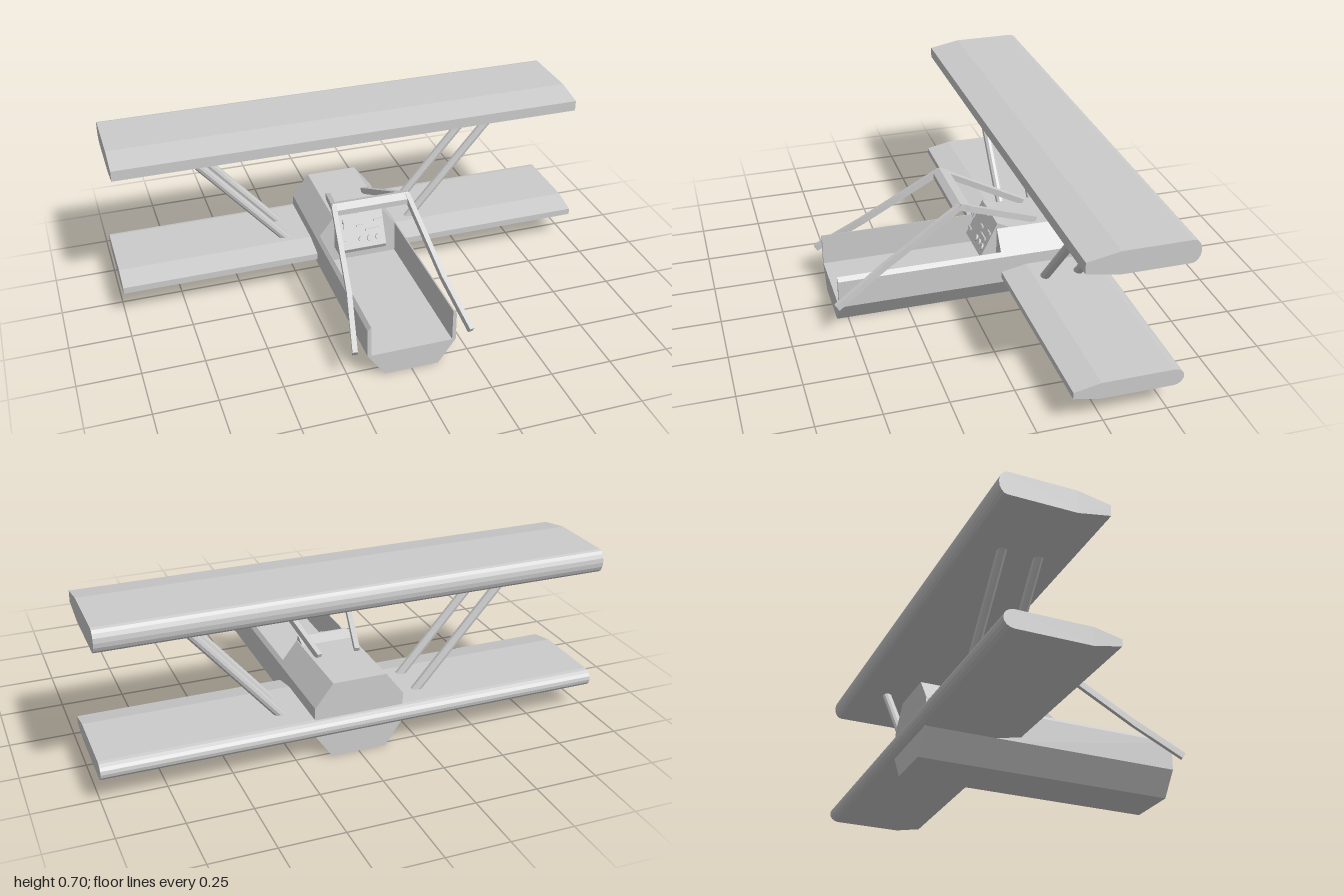
import * as THREE from 'three';

const mat = new THREE.MeshStandardMaterial({ color: 0xcccccc, flatShading: true });

function add(parent, name, geometry, x = 0, y = 0, z = 0) {
  const m = new THREE.Mesh(geometry, mat);
  m.name = name;
  m.position.set(x, y, z);
  parent.add(m);
  return m;
}

const shapeOf = pts => new THREE.Shape(pts.map(p => new THREE.Vector2(...p)));

// Extrude an (x, y) section from z0 to z1
function alongZ(pts, z0, z1) {
  return new THREE.ExtrudeGeometry(shapeOf(pts), { depth: z1 - z0, bevelEnabled: false }).translate(0, 0, z0);
}

// Extrude a (z, y) profile symmetrically across x
function acrossX(pts, halfWidth) {
  const s = shapeOf(pts.map(([z, y]) => [-z, y]));
  return new THREE.ExtrudeGeometry(s, { depth: 2 * halfWidth, bevelEnabled: false })
    .translate(0, 0, -halfWidth).rotateY(Math.PI / 2);
}

// Rectangular bar between two points
function bar(parent, name, a, b, w, h) {
  const p = new THREE.Vector3(...a), q = new THREE.Vector3(...b);
  const m = add(parent, name, new THREE.BoxGeometry(w, h, p.distanceTo(q) + 0.008));
  m.position.copy(p).lerp(q, 0.5);
  m.lookAt(q);
}

// Round strut between two points
function strut(parent, name, a, b, r) {
  const p = new THREE.Vector3(...a), q = new THREE.Vector3(...b);
  const m = add(parent, name, new THREE.CylinderGeometry(r, r, p.distanceTo(q), 10));
  m.position.copy(p).lerp(q, 0.5);
  m.quaternion.setFromUnitVectors(new THREE.Vector3(0, 1, 0), q.sub(p).normalize());
}

// Wing profile: tapered blunt front edge, flat middle, rounded rear edge
function wing(halfSpan, front, taper, flatEnd, back, y0, y1, n0, n1) {
  const pts = [[front, n0], [front, n1], [taper, y1]];
  for (let i = 0; i <= 8; i++) {
    const a = Math.PI / 2 - i * Math.PI / 8;
    pts.push([flatEnd - Math.cos(a) * (flatEnd - back), (y0 + y1) / 2 + Math.sin(a) * (y1 - y0) / 2]);
  }
  pts.push([taper, y0]);
  return acrossX(pts, halfSpan);
}

export function createModel() {
  const g = new THREE.Group();
  g.name = 'biplane';

  // Fuselage: solid keel, open cockpit walls, closed rear hood
  const fuselage = new THREE.Group();
  fuselage.name = 'fuselage';
  g.add(fuselage);
  add(fuselage, 'keel', alongZ([[-0.11, 0], [0.11, 0], [0.18, 0.1], [-0.18, 0.1]], -0.52, 0.545));
  add(fuselage, 'rearHood', alongZ(
    [[-0.18, 0.1], [0.18, 0.1], [0.18, 0.218], [0.108, 0.312], [-0.108, 0.312], [-0.18, 0.218]], -0.52, -0.13));
  for (const s of [1, -1]) {
    const wall = [[0.165, 0.1], [0.18, 0.1], [0.18, 0.218], [0.167, 0.235], [0.165, 0.235]].map(([x, y]) => [s * x, y]);
    add(fuselage, 'cockpitWall', alongZ(wall, -0.13, 0.545));
  }

  // Dashboard wedge with its cowl lip
  const dash = new THREE.Group();
  dash.name = 'dashboard';
  g.add(dash);
  add(dash, 'dashboardBody', acrossX(
    [[-0.13, 0.165], [-0.072, 0.165], [-0.062, 0.185], [-0.133, 0.333], [-0.14, 0.333], [-0.187, 0.31], [-0.187, 0.25], [-0.13, 0.25]], 0.104));

  // Instruments, laid out in the plane of the sloping panel
  const panel = new THREE.Group();
  panel.name = 'instruments';
  const tilt = Math.atan2(0.071, 0.148);
  panel.position.set(0, 0.185, -0.062);
  panel.rotation.x = -tilt;
  dash.add(panel);
  const up = y => (y - 0.185) / Math.cos(tilt);
  for (const x of [0, 0.037, 0.074]) {
    add(panel, 'dial', new THREE.CylinderGeometry(0.014, 0.014, 0.01, 16).rotateX(Math.PI / 2), x, up(0.217), 0.003);
  }
  for (const [x, y, w] of [[0, 0.322, 0.02], [0, 0.27, 0.03], [0.08, 0.282, 0.035], [0.05, 0.25, 0.06], [-0.085, 0.217, 0.03]]) {
    add(panel, 'switch', new THREE.BoxGeometry(w, 0.008, 0.01), x, up(y), 0.003);
  }
  for (const x of [-0.092, -0.072]) {
    add(panel, 'leverStem', new THREE.BoxGeometry(0.006, 0.008, 0.022), x, up(0.29), 0.009);
    add(panel, 'leverHandle', new THREE.BoxGeometry(0.008, 0.04, 0.007), x, up(0.285), 0.02);
  }

  // Wings
  add(g, 'lowerWing', wing(1, -0.13, -0.235, -0.515, -0.555, 0.1, 0.17, 0.121, 0.148));
  add(g, 'upperWing', wing(0.99, -0.15, -0.278, -0.54, -0.572, 0.608, 0.7, 0.632, 0.676));

  for (const s of [1, -1]) {
    // Slanting wing struts
    for (const z of [-0.279, -0.422]) {
      strut(g, 'wingStrut', [s * 0.265, 0.145, z], [s * 0.68, 0.63, z], 0.019);
    }
    // Cockpit frame legs
    const path = [[0.235, 0.142, 0.56], [0.194, 0.265, 0.365], [0.155, 0.468, 0.042], [0.08, 0.318, -0.3]]
      .map(([x, y, z]) => [s * x, y, z]);
    for (let i = 0; i < 3; i++) bar(g, 'frameLeg', path[i], path[i + 1], 0.02, 0.026);
  }

  // Peaked crossbar over the cockpit
  add(g, 'frameCrossbar', acrossX(
    [[0.066, 0.465], [0.04, 0.484], [0, 0.468], [0, 0.444], [0.04, 0.46], [0.066, 0.442]], 0.16));

  return g;
}
